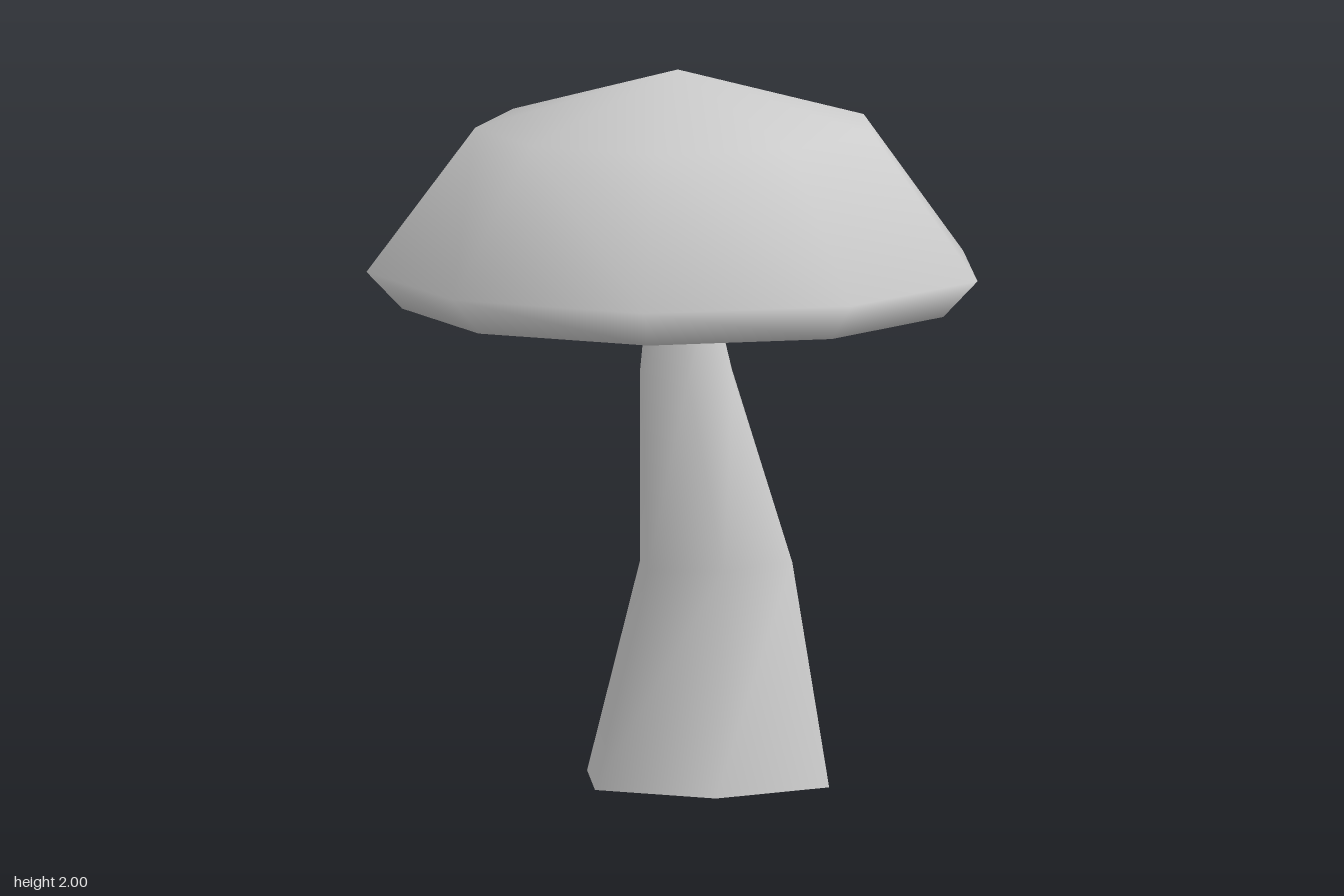
import * as THREE from 'three';
import { mergeVertices } from 'three/addons/utils/BufferGeometryUtils.js';

const material = new THREE.MeshStandardMaterial({ color: 0xcccccc });

// Nine-sided cap with soft normals, one corner pointing back
function makeCap() {
  const profile = [[0, 1.33], [0.775, 1.33], [0.875, 1.435], [0.57, 1.84], [0, 2]]
    .map(([r, y]) => new THREE.Vector2(r, y));
  const geometry = new THREE.LatheGeometry(profile, 9, Math.PI);
  // Straighten the normals where the profile meets the axis
  const { position, normal } = geometry.attributes;
  for (let i = 0; i < position.count; i++) {
    if (Math.hypot(position.getX(i), position.getZ(i)) < 1e-6) {
      normal.setXYZ(i, 0, position.getY(i) > 1.6 ? 1 : -1, 0);
    }
  }
  const cap = new THREE.Mesh(geometry, material);
  cap.name = 'cap';
  cap.position.z = 0.025;
  return cap;
}

// Six-sided bent stem: each ring has height, centre x, half widths and tilt
function makeStem() {
  const rings = [
    { y: 0, x: 0.107, rx: 0.378, rz: 0.387, tilt: 0 },
    { y: 0.617, x: 0.132, rx: 0.238, rz: 0.22, tilt: 0.013 },
    { y: 1.145, x: 0.04, rx: 0.145, rz: 0.162, tilt: -0.005 },
    { y: 1.4, x: 0.022, rx: 0.1, rz: 0.1, tilt: 0 },
  ];
  const centreZ = 0.05;
  let geometry = new THREE.CylinderGeometry(1, 1, 3, 6, 3, true, Math.PI / 2);
  const p = geometry.attributes.position;
  for (let i = 0; i < p.count; i++) {
    const ring = rings[Math.round(p.getY(i) + 1.5)];
    const x = p.getX(i);
    p.setXYZ(i, ring.x + x * ring.rx, ring.y + x * ring.tilt, centreZ + p.getZ(i) * ring.rz);
  }
  // Weld the seam so the sides shade smoothly all round
  geometry.deleteAttribute('uv');
  geometry.deleteAttribute('normal');
  geometry = mergeVertices(geometry, 1e-4);
  geometry.computeVertexNormals();
  const sides = new THREE.Mesh(geometry, material);
  sides.name = 'stemSides';

  // Flat foot closing the stem
  const foot = new THREE.Mesh(new THREE.CircleGeometry(1, 6), material);
  foot.name = 'stemFoot';
  foot.rotation.x = Math.PI / 2;
  foot.scale.set(rings[0].rx, rings[0].rz, 1);
  foot.position.set(rings[0].x, 0, centreZ);

  const stem = new THREE.Group();
  stem.name = 'stem';
  stem.add(sides, foot);
  return stem;
}

export function createModel() {
  const mushroom = new THREE.Group();
  mushroom.name = 'mushroom';
  mushroom.add(makeCap(), makeStem());
  return mushroom;
}
